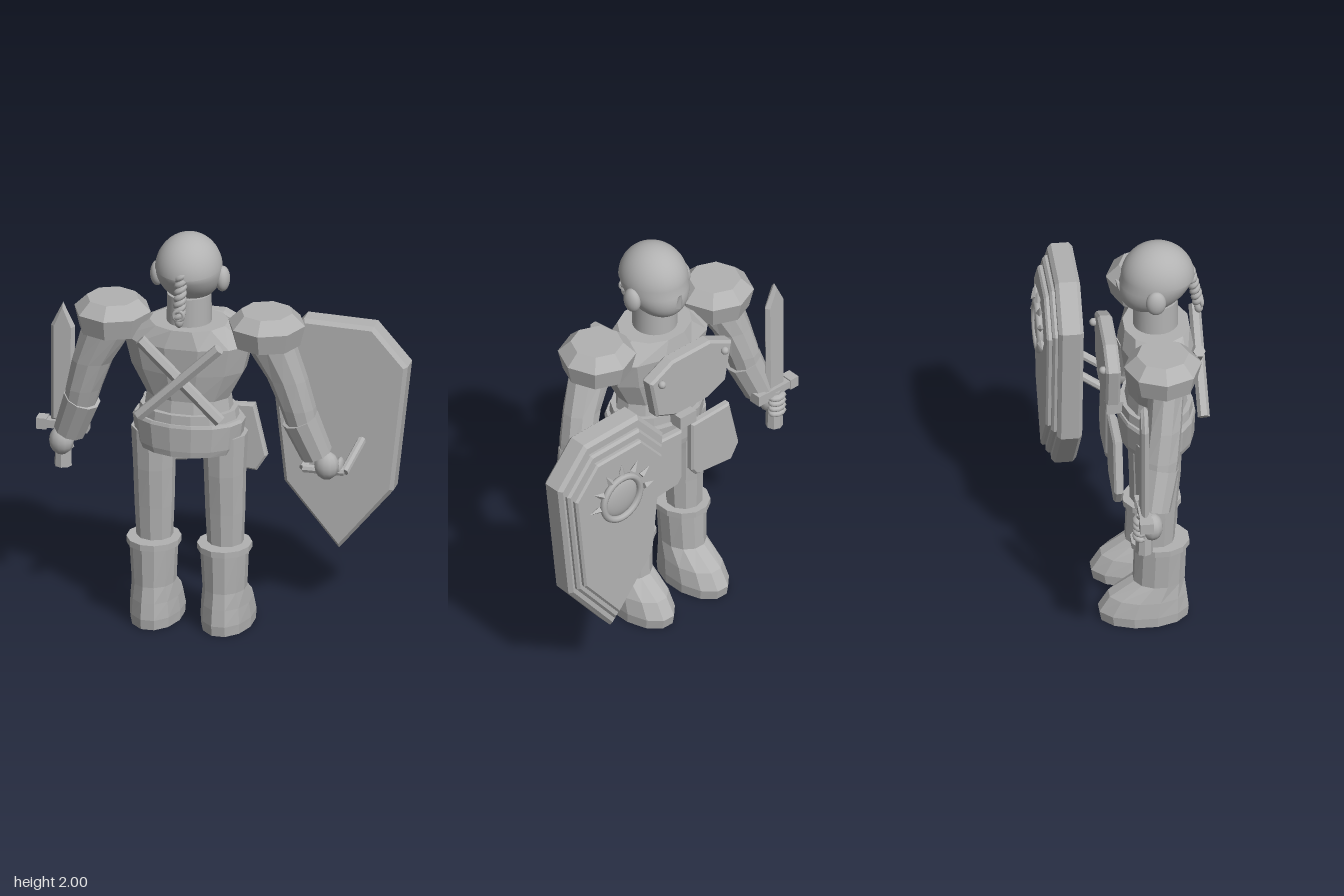
import * as THREE from 'three';

const V = (x, y, z) => new THREE.Vector3(x, y, z);
const MID = -0.11; // centre line of the body

export function createModel() {
  const model = new THREE.Group();
  const grey = new THREE.MeshStandardMaterial({ color: 0xb2b2b2 });
  grey.name = 'stone grey';

  const add = (name, geo, x = 0, y = 0, z = 0, parent = model) => {
    const m = new THREE.Mesh(geo, grey);
    m.name = name;
    m.position.set(x, y, z);
    parent.add(m);
    return m;
  };
  const flat = (g) => {
    const f = g.index ? g.toNonIndexed() : g;
    f.computeVertexNormals();
    return f;
  };
  // faceted body from elliptical sections [y, x, z, half width, half depth], bottom to top
  const loft = (sections, n = 12) => {
    const pos = [], idx = [], last = (sections.length - 1) * n;
    for (const [y, x, z, hx, hz] of sections)
      for (let j = 0; j < n; j++) {
        const a = ((j + 0.5) / n) * Math.PI * 2;
        pos.push(x + hx * Math.cos(a), y, z + hz * Math.sin(a));
      }
    for (let i = 0; i < last; i += n)
      for (let j = 0; j < n; j++) {
        const a = i + j, b = i + ((j + 1) % n);
        idx.push(a, a + n, b, b, a + n, b + n);
      }
    for (let j = 1; j < n - 1; j++) idx.push(0, j, j + 1, last, last + j + 1, last + j);
    const g = new THREE.BufferGeometry();
    g.setAttribute('position', new THREE.Float32BufferAttribute(pos, 3));
    g.setIndex(idx);
    return flat(g);
  };
  // tapered rod between two points
  const rod = (name, a, b, ra, rb, n = 8) => {
    const m = add(name, flat(new THREE.CylinderGeometry(rb, ra, a.distanceTo(b), n)));
    m.position.copy(a).add(b).multiplyScalar(0.5);
    m.quaternion.setFromUnitVectors(V(0, 1, 0), b.clone().sub(a).normalize());
    return m;
  };
  // bevelled plate in the xy plane, filling z0..z1
  const plate = (name, pts, z0, z1, bevel) => {
    const shape = new THREE.Shape(pts.map(([x, y]) => new THREE.Vector2(x, y)));
    const g = new THREE.ExtrudeGeometry(shape, {
      depth: z1 - z0 - 2 * bevel, bevelEnabled: bevel > 0, bevelThickness: bevel,
      bevelSize: bevel, bevelOffset: -bevel, bevelSegments: 1,
    });
    return add(name, flat(g), 0, 0, z0 + bevel);
  };
  const ball = (name, x, y, z, rx, ry, rz, w = 20, h = 14) =>
    add(name, new THREE.SphereGeometry(1, w, h).scale(rx, ry, rz), x, y, z);

  // head with the jaw pushed forward
  const headGeo = new THREE.SphereGeometry(1, 32, 24);
  const p = headGeo.attributes.position;
  for (let i = 0; i < p.count; i++) {
    const low = Math.max(0, -p.getY(i));
    p.setXYZ(i, p.getX(i) * 0.157, p.getY(i) * 0.175, p.getZ(i) * 0.173 - 0.06 * low);
  }
  headGeo.computeVertexNormals();
  add('head', headGeo, MID, 1.825, 0.145);
  const cap = add('hairCap', new THREE.SphereGeometry(1, 32, 14, 0, Math.PI * 2, 0, Math.PI * 0.47)
    .scale(0.16, 0.175, 0.176), MID, 1.826, 0.147);
  cap.rotation.x = 0.08;
  const nose = add('nose', flat(new THREE.ConeGeometry(0.03, 0.085, 6)), MID, 1.787, -0.035);
  nose.rotation.x = -0.45;
  for (const s of [-1, 1]) ball('ear', MID + s * 0.158, 1.777, 0.122, 0.035, 0.063, 0.048);
  add('neck', new THREE.CylinderGeometry(0.105, 0.108, 0.16, 24), MID, 1.62, 0.138);

  // braid: two strands twisted around a hanging line, with a tie and a tail
  const spine = new THREE.QuadraticBezierCurve3(
    V(MID, 1.86, 0.295), V(MID, 1.75, 0.325), V(MID, 1.645, 0.342));
  for (const phase of [0, Math.PI]) {
    const pts = [];
    for (let i = 0; i <= 40; i++) {
      const a = (i / 40) * Math.PI * 7 + phase;
      pts.push(spine.getPoint(i / 40).add(V(0.016 * Math.cos(a), 0, 0.014 * Math.sin(a))));
    }
    add('braidStrand', new THREE.TubeGeometry(new THREE.CatmullRomCurve3(pts), 80, 0.016, 7));
  }
  add('braidTie', new THREE.TorusGeometry(0.024, 0.009, 8, 16), MID, 1.665, 0.355);
  ball('braidTail', MID, 1.63, 0.343, 0.022, 0.03, 0.022, 10, 8);

  // torso, belts and hips
  add('torso', loft([
    [1.12, MID, 0.14, 0.215, 0.15], [1.19, MID, 0.14, 0.205, 0.14],
    [1.33, MID, 0.14, 0.28, 0.16], [1.47, MID, 0.14, 0.315, 0.175],
    [1.56, MID, 0.14, 0.19, 0.16],
  ], 12));
  add('upperBelt', loft([[1.06, MID, 0.14, 0.245, 0.175], [1.13, MID, 0.14, 0.235, 0.17]], 16));
  add('hips', loft([
    [0.92, MID, 0.14, 0.24, 0.175], [0.95, MID, 0.14, 0.255, 0.18],
    [1.07, MID, 0.14, 0.272, 0.185], [1.085, MID, 0.14, 0.262, 0.18],
  ], 16));
  add('buckle', flat(new THREE.BoxGeometry(0.1, 0.065, 0.08)), MID, 1.11, -0.06);

  // chest plate with two rivets
  plate('chestPlate', [[-0.12, 1.53], [0.12, 1.53], [0.26, 1.46], [0.22, 1.25], [0.1, 1.2],
    [-0.1, 1.2], [-0.22, 1.25], [-0.26, 1.46]].map(([x, y]) => [MID + x, y]), -0.125, -0.055, 0.012);
  for (const s of [-1, 1]) ball('rivet', MID + s * 0.2, 1.44, -0.135, 0.02, 0.02, 0.02, 10, 8);

  // crossed sticks on the back
  for (const s of [-1, 1]) {
    const z = 0.335 + s * 0.01;
    rod('backStick', V(MID - s * 0.195, 1.13, z), V(MID + s * 0.195, 1.51, z), 0.029, 0.029, 6);
  }

  for (const s of [-1, 1]) {
    const at = (x) => MID + s * x;
    // hanging hip plates
    plate('hipPlate', [[0.03, 1.06], [0.27, 1.07], [0.33, 0.81], [0.28, 0.73], [0.06, 0.75],
      [0.03, 0.79]].map(([x, y]) => [at(x), y]), -0.095, -0.05, 0.01);

    // leg and boot
    const lx = at(0.172);
    add('leg', loft([
      [0.38, lx, 0.12, 0.085, 0.085], [0.6, lx, 0.125, 0.095, 0.095],
      [0.8, lx, 0.13, 0.1, 0.108], [1, lx, 0.13, 0.11, 0.115],
    ], 10));
    add('boot', loft([
      [0, lx, 0.062, 0.124, 0.212], [0.05, lx, 0.06, 0.127, 0.22],
      [0.13, lx, 0.08, 0.12, 0.19], [0.21, lx, 0.133, 0.105, 0.125],
      [0.4, lx, 0.14, 0.115, 0.125],
    ], 12));
    add('bootCuff', loft([[0.405, lx, 0.138, 0.13, 0.142], [0.435, lx, 0.138, 0.13, 0.142]], 12));

    // arm: shoulder pad, sleeve, bracer and fist
    add('shoulderPad', flat(new THREE.LatheGeometry([[0, 1.475], [0.162, 1.475], [0.186, 1.575],
      [0.125, 1.635], [0, 1.635]].map(([x, y]) => new THREE.Vector2(x, y)), 8)), at(0.375), 0, 0.13);
    add('sleeve', loft([
      [1.02, at(0.55), 0.09, 0.075, 0.08], [1.15, at(0.52), 0.105, 0.086, 0.088],
      [1.3, at(0.475), 0.125, 0.098, 0.085], [1.48, at(0.395), 0.145, 0.128, 0.085],
      [1.55, at(0.34), 0.14, 0.13, 0.08],
    ], 10));
    rod('bracer', V(at(0.6), 0.9, 0.063), V(at(0.53), 1.09, 0.1), 0.078, 0.09, 10);
    ball('fist', at(0.645), 0.835, 0.045, 0.06, 0.07, 0.055, 12, 8);
  }

  // sword with its gripping fingers
  const sx = -0.755, sz = 0.01;
  plate('swordBlade', [[0, 1.53], [0.058, 1.41], [0.052, 0.92], [-0.058, 0.92], [-0.058, 1.41]]
    .map(([x, y]) => [sx + x, y]), sz - 0.018, sz + 0.018, 0.016);
  add('swordGuard', flat(new THREE.BoxGeometry(0.17, 0.04, 0.055)), sx, 0.907, sz);
  for (const s of [-1, 1])
    add('guardEnd', flat(new THREE.BoxGeometry(0.05, 0.055, 0.065)), sx + s * 0.1, 0.907, sz);
  add('swordGrip', flat(new THREE.CylinderGeometry(0.036, 0.042, 0.21, 8)), sx, 0.8, sz);
  for (let i = 0; i < 4; i++) {
    const y = 0.785 + i * 0.03;
    ball('swordFinger', sx, y, sz - 0.02, 0.05, 0.018, 0.037, 10, 6);
    ball('shieldFinger', 0.495 + i * 0.03, 0.81, -0.02, 0.018, 0.045, 0.045, 10, 6);
  }

  // shield: thick slab with two raised tiers
  const cx = 0.54, cy = 0.92;
  const rim = [[-0.17, 1.48], [0.17, 1.47], [0.335, 1.28], [0.265, 0.64], [0, 0.32],
    [-0.265, 0.64], [-0.335, 1.29]];
  const tier = (k) => rim.map(([x, y]) => [cx + x * k, cy + (y - cy) * k]);
  plate('shieldSlab', tier(1), -0.285, -0.165, 0.018);
  plate('shieldRim', tier(0.9), -0.31, -0.27, 0.012);
  plate('shieldPanel', tier(0.82), -0.335, -0.3, 0.01);

  // sun emblem: ring, domed disc and seven rays over the top
  const ey = 1.12, ez = -0.34;
  add('emblemRing', new THREE.TorusGeometry(0.115, 0.017, 8, 32), cx, ey, ez - 0.01);
  ball('emblemDisc', cx, ey, ez + 0.003, 0.105, 0.105, 0.025, 28, 12);
  for (let i = 0; i < 7; i++) {
    const a = (i * Math.PI) / 6;
    const ray = add('emblemRay', flat(new THREE.ConeGeometry(0.018, 0.06, 4)),
      cx + Math.cos(a) * 0.172, ey + Math.sin(a) * 0.172, ez - 0.01);
    ray.rotation.z = a - Math.PI / 2;
  }

  // shield handle
  const grip = [V(0.46, 0.89, -0.175), V(0.41, 0.79, 0), V(0.61, 0.79, 0), V(0.655, 0.89, -0.175)];
  for (let i = 0; i < 3; i++) rod('shieldHandle', grip[i], grip[i + 1], 0.021, 0.021, 8);

  return model;
}
